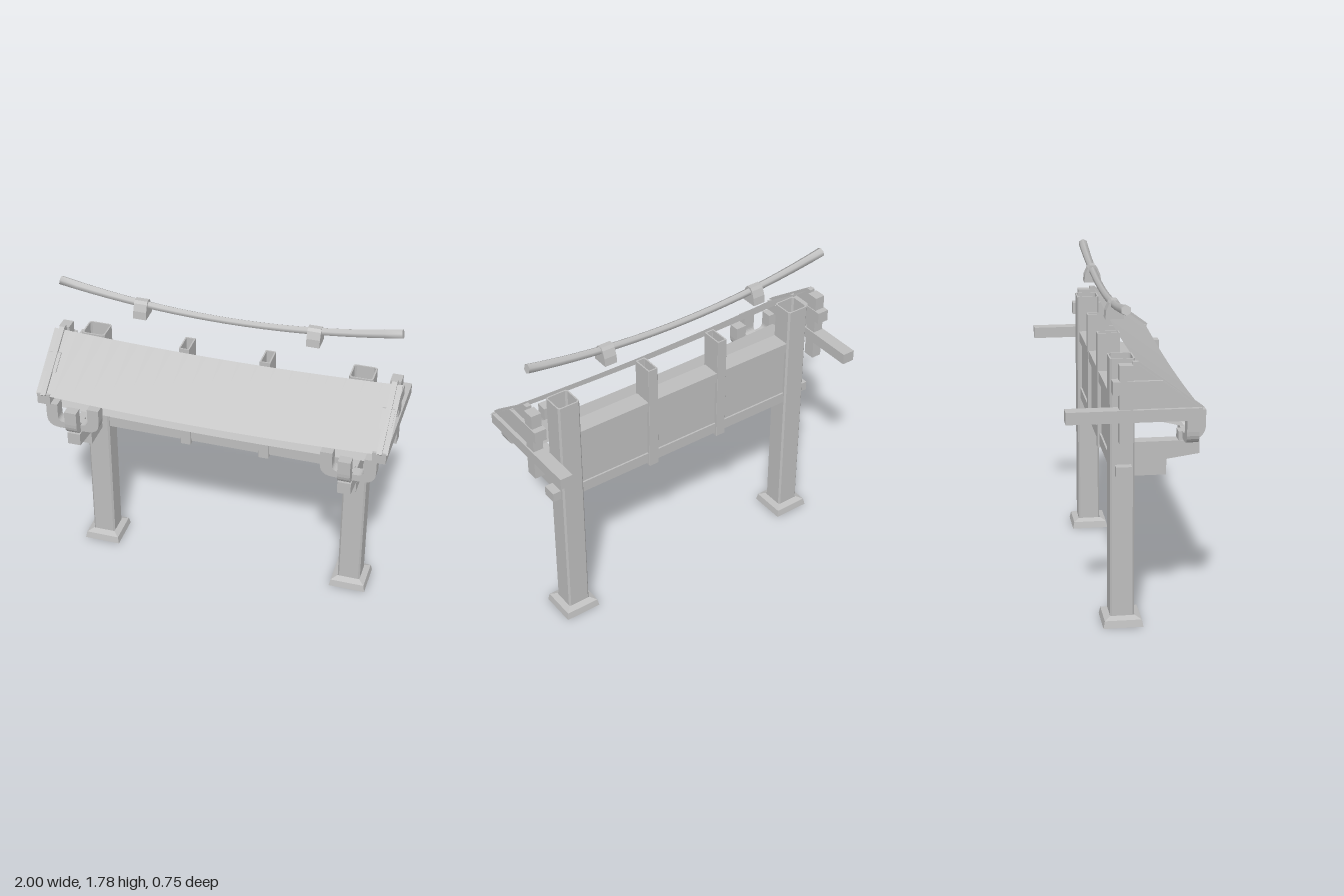
import * as THREE from 'three';

export function createModel() {
  const model = new THREE.Group();
  const stone = new THREE.MeshStandardMaterial({ color: 0xbebebe, side: THREE.DoubleSide });
  stone.name = 'plain grey';

  function add(name, geometry, parent = model) {
    const mesh = new THREE.Mesh(geometry, stone);
    mesh.name = name;
    parent.add(mesh);
    return mesh;
  }

  // Box given by its limits on each axis
  function box(name, x0, x1, y0, y1, z0, z1, parent) {
    const g = new THREE.BoxGeometry(x1 - x0, y1 - y0, z1 - z0);
    g.translate((x0 + x1) / 2, (y0 + y1) / 2, (z0 + z1) / 2);
    return add(name, g, parent);
  }

  function shapeOf(points) {
    return new THREE.Shape(points.map(([a, b]) => new THREE.Vector2(a, b)));
  }

  // Side profile of [z, y] points, given a width along x
  function profile(name, shape, x, width, parent) {
    const g = new THREE.ExtrudeGeometry(shape, { depth: width, bevelEnabled: false, curveSegments: 6 });
    g.translate(0, 0, -width / 2);
    g.rotateY(-Math.PI / 2);
    g.translate(x, 0, 0);
    return add(name, g, parent);
  }

  // Hollow upright with chamfered corners, open at the top
  function hollowPost(name, x, z, w, d, y0, y1, c, parent) {
    const ring = (a, b, k) => [[a, -b + k], [a, b - k], [a - k, b], [-a + k, b],
      [-a, b - k], [-a, -b + k], [-a + k, -b], [a - k, -b]];
    const shape = shapeOf(ring(w / 2, d / 2, c));
    shape.holes.push(shapeOf(ring(w / 2 - 0.008, d / 2 - 0.008, c)));
    const g = new THREE.ExtrudeGeometry(shape, { depth: y1 - y0, bevelEnabled: false });
    g.rotateX(-Math.PI / 2);
    g.translate(x, y0, z);
    return add(name, g, parent);
  }

  // Thin sheet between two heights, sagging towards the middle
  function saggingSheet(name, half, backZ, backY, frontZ, frontY, sag) {
    const g = new THREE.PlaneGeometry(2 * half, 1, 20, 1);
    const p = g.attributes.position;
    for (let i = 0; i < p.count; i++) {
      const t = p.getY(i) + 0.5;
      const u = p.getX(i) / half;
      p.setY(i, frontY + (backY - frontY) * t + sag * (u * u - 1));
      p.setZ(i, frontZ + (backZ - frontZ) * t);
    }
    g.computeVertexNormals();
    return add(name, g);
  }

  // Roof slope and the lower eave sheet
  saggingSheet('roofSlope', 1, 0, 1.474, 0.325, 1.234, 0.028);
  saggingSheet('eaveSheet', 0.9, 0, 1.18, 0.25, 1.118, 0.016);

  // Curved ridge pole, thicker at its ends
  const pole = new THREE.CylinderGeometry(1, 1, 1.94, 6, 20);
  pole.rotateY(Math.PI / 2);
  pole.rotateZ(Math.PI / 2);
  const pp = pole.attributes.position;
  for (let i = 0; i < pp.count; i++) {
    const u = (pp.getX(i) / 0.97) ** 2;
    const r = 0.02 + 0.007 * u;
    pp.setXYZ(i, pp.getX(i) - pp.getY(i) * r * 0.2 * Math.sign(pp.getX(i)) * Math.sqrt(u),
      1.66 + 0.093 * u + pp.getY(i) * r, -0.065 + pp.getZ(i) * r);
  }
  pole.computeVertexNormals();
  add('ridgePole', pole);

  // Wall between the posts
  box('wallPanel', -0.71, 0.71, 0.845, 1.22, -0.105, -0.025);
  box('topRail', -0.71, 0.71, 1.2, 1.26, -0.12, -0.01);
  box('bottomRail', -0.71, 0.71, 0.84, 0.905, -0.115, -0.015);

  for (const s of [-1, 1]) {
    const side = new THREE.Group();
    side.name = s > 0 ? 'leftSide' : 'rightSide';
    model.add(side);
    const span = (name, a, b, ...rest) =>
      box(name, Math.min(s * a, s * b), Math.max(s * a, s * b), ...rest, side);

    // Main post on a flared, hollow foot
    hollowPost('post', s * 0.77, -0.065, 0.134, 0.13, 0.03, 1.472, 0.01, side);
    const q = Math.SQRT2;
    const foot = new THREE.LatheGeometry([[0.108, 0], [0.1, 0.04], [0.066, 0.055]]
      .map(([r, y]) => new THREE.Vector2(r * q, y)), 4, Math.PI / 4).toNonIndexed();
    foot.computeVertexNormals();
    foot.translate(s * 0.77, 0, -0.063);
    add('postFoot', foot, side);

    // Wall strut, tie end and ridge saddle
    hollowPost('wallStrut', s * 0.233, -0.063, 0.06, 0.125, 0.82, 1.472, 0.001, side);
    span('tieEnd', 0.83, 0.886, 0.85, 0.905, -0.105, -0.02);
    profile('ridgeSaddle', shapeOf([[-0.115, 1.61], [-0.015, 1.61], [-0.02, 1.655], [-0.037, 1.695],
      [-0.05, 1.71], [-0.08, 1.71], [-0.093, 1.695], [-0.11, 1.655]]), s * 0.493, 0.075, side);

    // Gable framing: hanging post, two beams and the thin infill
    span('hangingPost', 0.925, 0.985, 1.06, 1.472, -0.1, -0.03);
    profile('upperGableBeam', shapeOf([[-0.135, 1.32], [0.215, 1.32], [0.12, 1.39], [-0.135, 1.39]]),
      s * 0.955, 0.07, side);
    profile('lowerGableBeam', shapeOf([[-0.375, 1.175], [0.325, 1.175], [0.325, 1.24], [-0.375, 1.24]]),
      s * 0.955, 0.075, side);
    profile('gableInfill', shapeOf([[-0.03, 1.23], [0.325, 1.23], [0.335, 1.24], [0, 1.488], [-0.03, 1.488]]),
      s * 0.955, 0.03, side);

    // Stepped corbel on the front of the post
    profile('corbelBeam', shapeOf([[0, 0.92], [0.17, 0.92], [0.345, 0.945], [0.345, 1.018], [0, 1.018]]),
      s * 0.78, 0.075, side);
    span('corbelBlock', 0.745, 0.813, 0.833, 0.92, 0, 0.17);

    // Cradle arm running sideways
    const cradle = new THREE.Shape();
    cradle.moveTo(-0.155, 1.18);
    cradle.lineTo(-0.155, 1.1);
    cradle.quadraticCurveTo(-0.155, 1.027, -0.08, 1.027);
    cradle.lineTo(0.08, 1.027);
    cradle.quadraticCurveTo(0.155, 1.027, 0.155, 1.1);
    cradle.lineTo(0.155, 1.18);
    cradle.lineTo(0.088, 1.18);
    cradle.lineTo(0.088, 1.1);
    cradle.quadraticCurveTo(0.088, 1.067, 0.05, 1.067);
    cradle.lineTo(-0.05, 1.067);
    cradle.quadraticCurveTo(-0.088, 1.067, -0.088, 1.1);
    cradle.lineTo(-0.088, 1.18);
    const cg = new THREE.ExtrudeGeometry(cradle, { depth: 0.065, bevelEnabled: false, curveSegments: 6 });
    cg.translate(s * 0.79, 0, 0.255);
    add('cradleArm', cg, side);

    // Hooked arm reaching forward
    const hook = new THREE.Shape();
    hook.moveTo(0.233, 1.018);
    hook.lineTo(0.31, 1.018);
    hook.quadraticCurveTo(0.378, 1.03, 0.378, 1.1);
    hook.lineTo(0.378, 1.18);
    hook.lineTo(0.322, 1.18);
    hook.lineTo(0.322, 1.1);
    hook.quadraticCurveTo(0.322, 1.067, 0.29, 1.067);
    hook.lineTo(0.233, 1.067);
    profile('hookArm', hook, s * 0.78, 0.07, side);
  }

  return model;
}
